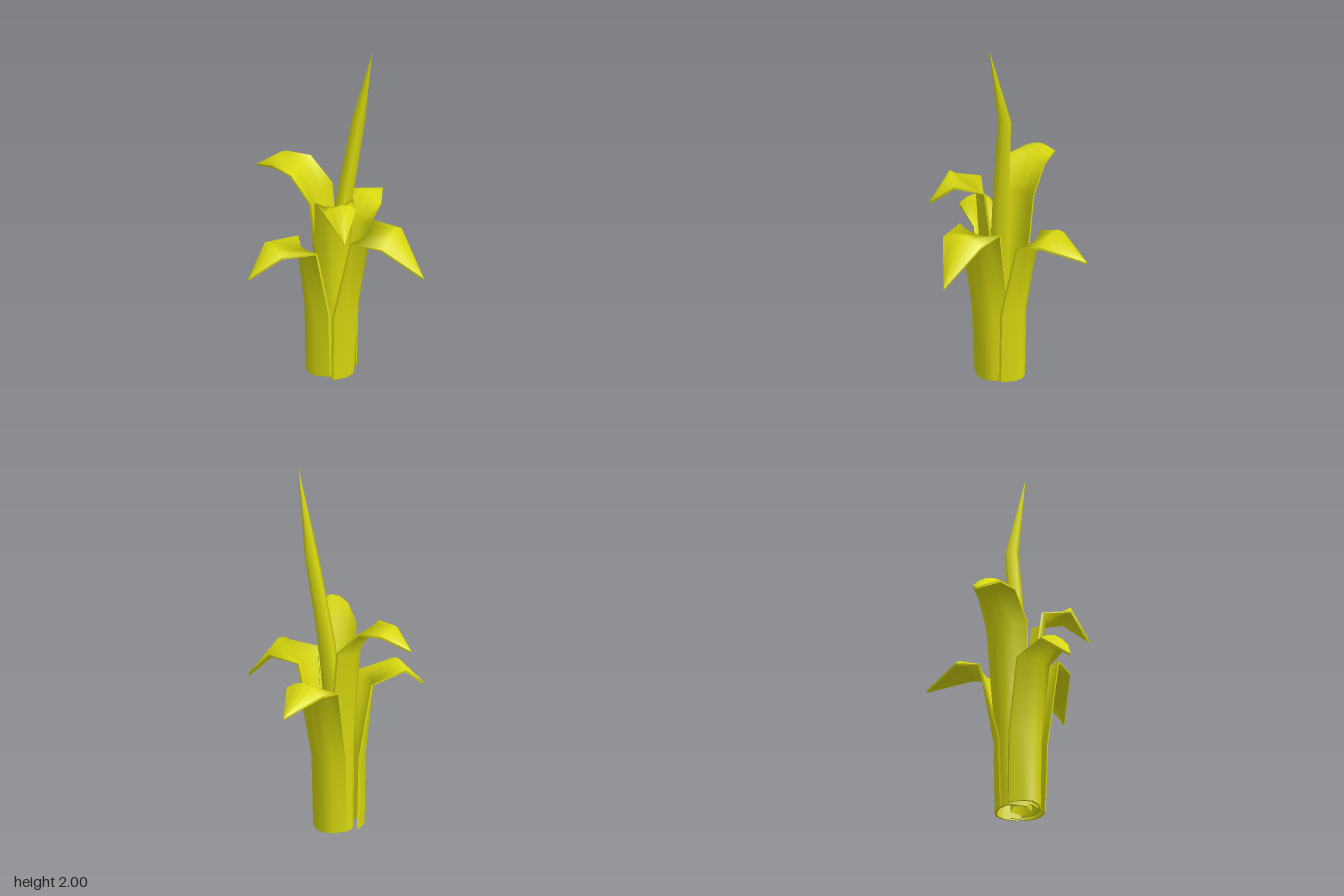
import * as THREE from 'three';
import { mergeGeometries } from 'three/addons/utils/BufferGeometryUtils.js';

const THICK = 0.012;
const ACROSS = [-1, -0.5, 0, 0.5, 1];

// Smooth surface through rows of points
function loft(rows, flip = false, closed = false) {
  const n = rows[0].length, idx = [];
  for (let i = 0; i < rows.length - 1; i++) {
    for (let j = 0; j < (closed ? n : n - 1); j++) {
      const k = (j + 1) % n;
      const a = i * n + j, b = i * n + k, c = a + n, d = b + n;
      if (flip) idx.push(a, c, b, b, c, d);
      else idx.push(a, b, c, b, d, c);
    }
  }
  const g = new THREE.BufferGeometry().setFromPoints(rows.flat());
  g.setIndex(idx);
  g.computeVertexNormals();
  return g;
}

// Leaf blade: sections are [midrib out, midrib y, edge out, edge y, half width]
function leafGeometry([ox, oz], [dx, dz], sections) {
  const dir = new THREE.Vector3(dx, 0, dz).normalize();
  const side = new THREE.Vector3(0, 1, 0).cross(dir);
  const point = (out, y, s) => new THREE.Vector3(ox, y, oz)
    .addScaledVector(dir, out).addScaledVector(side, s);
  const outer = [], inner = [];
  sections.forEach(([r, y, er, ey, w], i) => {
    const p = sections[Math.max(i - 1, 0)], q = sections[Math.min(i + 1, sections.length - 1)];
    // Thickness runs square to the blade; the foot stays level
    const tr = i ? q[0] - p[0] : 0, ty = i ? q[1] - p[1] : 1;
    const l = Math.hypot(tr, ty), nr = ty / l * THICK, ny = -tr / l * THICK;
    const row = (a, b) => ACROSS.map(u => point(
      r + (er - r) * u * u - a, y + (ey - y) * u * u - b, u * w));
    outer.push(row(0, 0));
    inner.push(row(nr, ny));
  });
  // Narrow rims closing both edges and the foot
  const last = ACROSS.length - 1;
  const rims = [
    loft([outer.map(r => r[0]), inner.map(r => r[0])]),
    loft([outer.map(r => r[last]), inner.map(r => r[last])], true),
    loft([outer[0], inner[0]], true),
  ];
  return mergeGeometries([loft(outer), loft(inner, true), ...rims]);
}

// Rolled central shoot: sections are [x, y, z, radius]
function shootGeometry(sections) {
  const rows = sections.map(([x, y, z, r]) => Array.from({ length: 5 }, (_, j) => {
    const a = -Math.PI / 2 - j * Math.PI * 2 / 5;
    return new THREE.Vector3(x + r * Math.cos(a), y, z + r * Math.sin(a));
  }));
  return loft(rows, false, true);
}

export function createModel() {
  const group = new THREE.Group();
  const leafYellow = new THREE.MeshStandardMaterial({ color: 0xd9d90f, side: THREE.DoubleSide });
  leafYellow.name = 'leafYellow';
  const add = (name, geometry) => {
    const mesh = new THREE.Mesh(geometry, leafYellow);
    mesh.name = name;
    group.add(mesh);
  };

  add('leftLeaf', leafGeometry([0, 0.08], [1, -0.03], [
    [0.095, 0, 0.03, 0, 0.1],
    [0.115, 0.4, 0.04, 0.4, 0.11],
    [0.175, 0.89, 0.15, 0.91, 0.125],
    [0.325, 0.96, 0.315, 0.91, 0.115],
    [0.5, 0.72, 0.5, 0.72, 0],
  ]));
  add('backLeaf', leafGeometry([-0.03, 0], [0, -1], [
    [0.08, 0, 0.01, 0, 0.1],
    [0.085, 0.4, 0.02, 0.4, 0.105],
    [0.145, 0.81, 0.125, 0.83, 0.12],
    [0.265, 0.91, 0.265, 0.86, 0.108],
    [0.475, 0.79, 0.475, 0.79, 0],
  ]));
  add('rightLeaf', leafGeometry([0, 0.03], [-1, -0.01], [
    [0.14, 0, 0.07, 0, 0.095],
    [0.145, 0.5, 0.07, 0.5, 0.1],
    [0.17, 1.01, 0.13, 1.04, 0.117],
    [0.26, 1.17, 0.25, 1.17, 0.107],
    [0.38, 1.19, 0.365, 1.17, 0.08],
    [0.5, 1.09, 0.5, 1.09, 0],
  ]));
  add('frontRightLeaf', leafGeometry([-0.05, 0.06], [-0.524, 0.852], [
    [0.14, 0, 0.06, 0, 0.1],
    [0.145, 0.4, 0.07, 0.4, 0.1],
    [0.185, 0.8, 0.145, 0.8, 0.1],
    [0.345, 0.86, 0.34, 0.83, 0.085],
    [0.487, 0.7, 0.487, 0.7, 0],
  ]));
  add('frontLeftLeaf', leafGeometry([-0.05, 0.06], [0.64, 0.77], [
    [0.11, 0, 0.05, 0, 0.09],
    [0.11, 0.6, 0.05, 0.6, 0.09],
    [0.14, 1.08, 0.11, 1.1, 0.103],
    [0.27, 1.18, 0.26, 1.13, 0.085],
    [0.376, 1.01, 0.376, 1.01, 0],
  ]));
  add('centralShoot', shootGeometry([
    [-0.04, 0, 0.07, 0.06],
    [-0.04, 0.45, 0.07, 0.06],
    [0.01, 1.05, 0.025, 0.047],
    [0.067, 1.55, -0.033, 0.037],
    [0.165, 2, 0, 0.0005],
  ]));
  return group;
}
